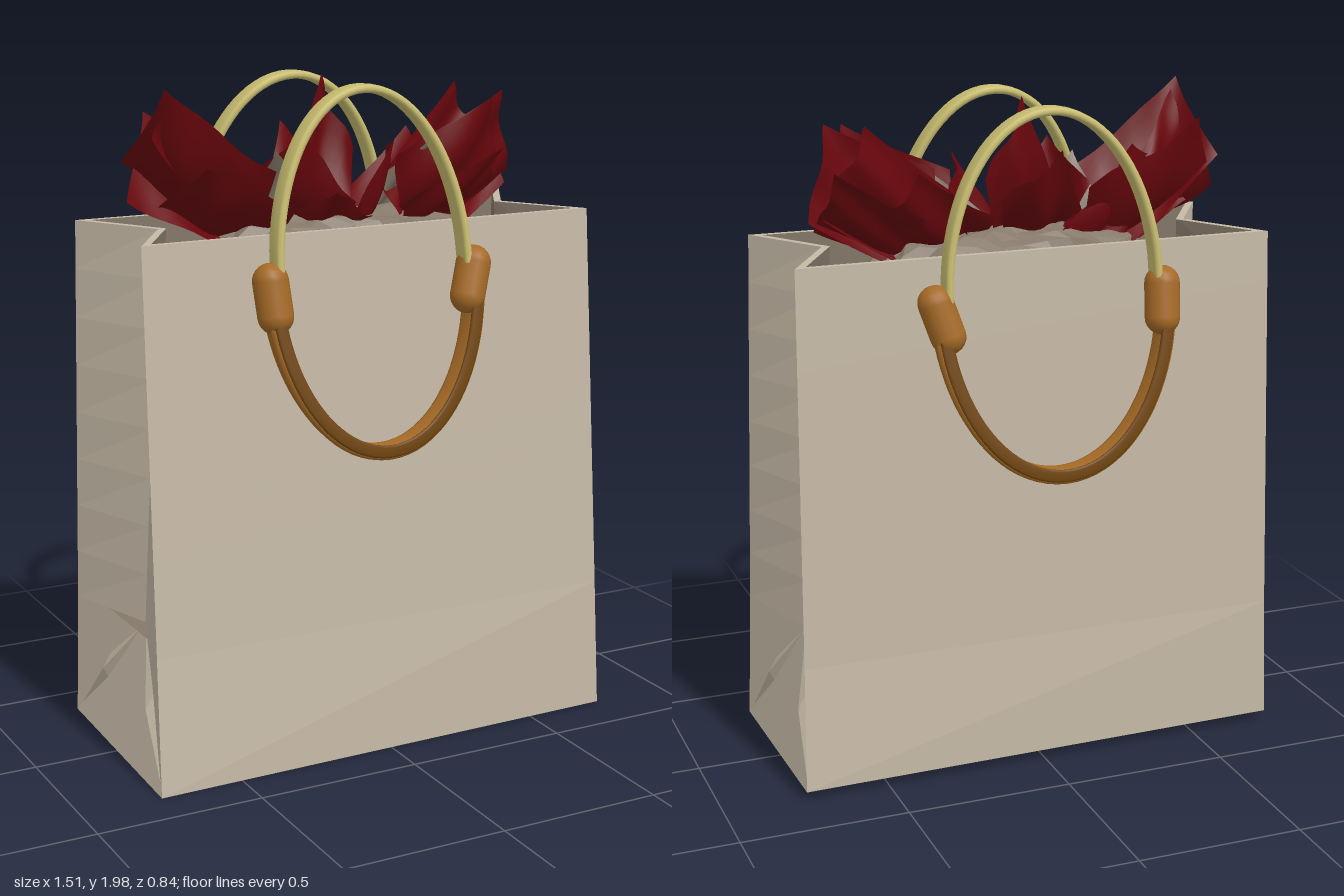
import * as THREE from 'three';

const mat = (name, color, side = THREE.FrontSide) => {
  const m = new THREE.MeshStandardMaterial({ color, side });
  m.name = name;
  return m;
};
const V = (p) => new THREE.Vector3(...p);

function build(pos, idx) {
  const g = new THREE.BufferGeometry();
  g.setAttribute('position', new THREE.Float32BufferAttribute(pos, 3));
  if (idx) g.setIndex(idx);
  g.computeVertexNormals();
  return g;
}

// Flat-shaded faces from polygons (triangle fans)
function faces(polys) {
  const pos = [];
  for (const p of polys)
    for (let i = 1; i < p.length - 1; i++) pos.push(...p[0], ...p[i], ...p[i + 1]);
  return build(pos);
}

// Pointed tissue sheet: root low in the bag, two side corners spread about the middle
function petal([x, y, z], spread, bulge, n = 10) {
  const C = new THREE.Vector3(x, y, z);
  const A = new THREE.Vector3(x * 0.48, 1.46, z * -0.4);
  const mid = A.clone().lerp(C, 0.55);
  const B = mid.clone().sub(V(spread)), D = mid.clone().add(V(spread));
  const normal = C.clone().sub(A).cross(D.clone().sub(B)).normalize();
  const pos = [], idx = [];
  for (let i = 0; i <= n; i++)
    for (let j = 0; j <= n; j++) {
      // Narrowing toward the tip gives the edges a slight inward curve
      const m = (i + j) / (2 * n), w = ((i - j) / (2 * n)) * (1 - 0.3 * m * m);
      const u = m + w, v = m - w;
      const p = A.clone().lerp(B, u).lerp(D.clone().lerp(C, u), v);
      p.addScaledVector(normal, bulge * 16 * u * v * (1 - u) * (1 - v) + 0.012 * Math.sin(14 * w + 5 * m));
      pos.push(p.x, p.y, p.z);
      if (i < n && j < n) {
        const k = i * (n + 1) + j, l = k + n + 1;
        idx.push(k, l, l + 1, k, l + 1, k + 1);
      }
    }
  return build(pos, idx);
}

// Flat strap swept along a path, its wide side along z; flare turns the outer face forward
function strap(points, width, thick, flare = 0, steps = 48, sides = 12) {
  const curve = new THREE.CatmullRomCurve3(points);
  const pos = [], idx = [];
  const soft = (c) => Math.sign(c) * Math.pow(Math.abs(c), 0.6);
  for (let i = 0; i <= steps; i++) {
    const p = curve.getPointAt(i / steps), t = curve.getTangentAt(i / steps);
    const axis = new THREE.Vector3(0, 0, 1).addScaledVector(t, -t.z).normalize();
    const side = axis.clone().addScaledVector(axis.clone().cross(t), flare).normalize();
    const out = side.clone().cross(t);
    for (let j = 0; j < sides; j++) {
      const a = (j / sides) * Math.PI * 2;
      const q = p.clone().addScaledVector(out, soft(Math.cos(a)) * thick / 2)
        .addScaledVector(side, soft(Math.sin(a)) * width / 2);
      pos.push(q.x, q.y, q.z);
      if (i < steps) {
        const k = i * sides + j, l = i * sides + (j + 1) % sides;
        idx.push(k, l, l + sides, k, l + sides, k + sides);
      }
    }
  }
  return build(pos, idx);
}

// Half-ellipse path; rise is negative for a hanging loop
function arc(cx, cy, rx, rise, z0, z1) {
  const points = [];
  for (let i = 0; i <= 16; i++) {
    const a = (i / 16) * Math.PI, s = Math.sin(a);
    points.push(new THREE.Vector3(cx - rx * Math.cos(a), cy + rise * s, z0 + (z1 - z0) * s));
  }
  return points;
}

export function createModel() {
  const model = new THREE.Group();
  model.name = 'giftBag';
  const paper = mat('beige paper', 0xc5b9a6, THREE.DoubleSide);
  const inside = mat('shaded paper', 0x85786a, THREE.DoubleSide);
  const base = mat('dark base', 0x5c4a3c);
  const red = mat('red tissue', 0x69060c, THREE.DoubleSide);
  const gold = mat('pale gold strap', 0xc9bd70);
  const tan = mat('tan leather', 0xa56a26);
  const brown = mat('brown leather edge', 0x70450f);
  const add = (name, geo, m, parent = model) => {
    const mesh = new THREE.Mesh(geo, m);
    mesh.name = name;
    parent.add(mesh);
    return mesh;
  };

  // Bag rings: front right, front left, left fold, back left, back right, right fold
  const ring = (y, x, front, back, fold, foldZ, skew = 0, tilt = 0) =>
    [[-x, front], [x, front], [fold, foldZ], [x, back], [-x, back], [-fold, foldZ]]
      .map(([px, pz]) => [px, y + tilt * (front - pz), pz - skew * px]);
  const bottom = ring(0.01, 0.755, 0.358, -0.312, 0.755, 0.02, 0.018, 0.042);
  const crease = ring(0.41, 0.743, 0.328, -0.295, 0.65, 0.02);
  const rim = ring(1.58, 0.728, 0.245, -0.26, 0.575, 0);
  const rimIn = ring(1.58, 0.69, 0.225, -0.24, 0.55, 0);
  const creaseIn = ring(0.41, 0.7, 0.308, -0.275, 0.62, 0.02);
  // Walls between two rings, in rows so the twisted gussets stay even
  const wall = (low, high, rows = 1) => {
    const polys = [];
    const at = (i, t) => V(low[i]).lerp(V(high[i]), t).toArray();
    for (let r = 0; r < rows; r++)
      for (let i = 0; i < 6; i++) {
        const j = (i + 1) % 6, a = r / rows, b = (r + 1) / rows;
        polys.push([at(i, a), at(j, a), at(j, b), at(i, b)]);
      }
    return polys;
  };
  add('upperWalls', faces(wall(crease, rim, 8)), paper);
  add('rimEdge', faces(wall(rim, rimIn)), paper);
  add('innerWalls', faces(wall(creaseIn, rimIn, 8)), inside);
  add('innerFloor', faces([creaseIn]), inside);
  add('bagBase', faces([[...bottom].reverse()]), base);

  // Lower walls: flat front and back, folded triangles at the sides
  const lower = [], folds = [];
  for (const i of [0, 3]) lower.push([bottom[i], bottom[i + 1], crease[i + 1], crease[i]]);
  for (const i of [2, 5]) {
    const a = i - 1, b = (i + 1) % 6;
    lower.push([bottom[a], bottom[i], crease[i]], [bottom[i], bottom[b], crease[i]],
      [bottom[a], crease[i], crease[a]], [bottom[b], crease[b], crease[i]]);
    // Raised diagonal folds on the gussets
    for (const k of [a, b]) {
      const at = (t, dy, dx) => {
        const m = V(crease[i]).lerp(V(bottom[k]), t);
        return [m.x + Math.sign(m.x) * dx, m.y + dy, m.z];
      };
      const top = at(0.03, 0, 0), end = at(0.92, 0, 0), mid = at(0.5, 0, 0.025);
      const up = at(0.5, 0.045, 0), down = at(0.5, -0.045, 0);
      folds.push([top, mid, up], [up, mid, end], [top, down, mid], [mid, down, end]);
    }
  }
  add('lowerWalls', faces(lower), paper);
  add('gussetFolds', faces(folds), paper);

  // Handles: gold arch above, tan loop with a dark outer edge below, rounded end tabs
  const handle = (name, s, cx, spread, topZ, lowY) => {
    const g = new THREE.Group();
    g.name = name;
    model.add(g);
    const rx = 0.335 * spread, rise = lowY - 1.44;
    add('upperStrap', strap(arc(cx, 1.46, 0.305 * spread, 0.515, s * 0.295, s * topZ), 0.068, 0.026), gold, g);
    add('lowerStrap', strap(arc(cx, 1.44, rx, rise, s * 0.29, s * 0.372), 0.08, 0.034, -0.2 * s), tan, g);
    add('strapEdge', strap(arc(cx, 1.44, rx - 0.008, rise + 0.008, s * 0.33, s * 0.411), 0.014, 0.038), brown, g);
    for (const e of [-1, 1]) {
      const tab = add('strapTab', new THREE.CapsuleGeometry(0.052, 0.1, 6, 14), tan, g);
      tab.position.set(cx + e * 0.322 * spread, 1.41, s * 0.3);
      tab.rotation.set(-0.2 * s, 0, e < 0 ? 0.06 : -0.3);
    }
  };
  handle('frontHandle', 1, -0.035, 1, 0.22, 0.945);
  handle('backHandle', -1, -0.025, 1.06, 0.25, 0.935);

  // Crumpled filler inside the mouth
  const mound = new THREE.SphereGeometry(1, 28, 16).toNonIndexed();
  const mp = mound.attributes.position;
  for (let i = 0; i < mp.count; i++) {
    const [x, y, z] = [mp.getX(i), mp.getY(i), mp.getZ(i)];
    const r = 1 + 0.1 * Math.sin(9 * x + 4 * z) * Math.cos(7 * z - 3 * y);
    mp.setXYZ(i, x * r * 0.45, 1.46 + y * r * 0.15, z * r * 0.17);
  }
  mound.computeVertexNormals();
  add('tissueFiller', mound, inside);
  for (const s of [-1, 1])
    add('tissueLining', petal([s * 0.25, 1.8, 0.1], [0.12, 0, 0.01], 0.02), inside);

  // Red tissue petals: tip, spread of the side corners, bulge
  const left = [
    [[-0.615, 2.0, 0.16], [0.22, -0.02, 0.09], -0.05],
    [[-0.6, 1.96, 0.14], [0.2, -0.13, -0.1], 0.04],
    [[-0.4, 1.82, -0.02], [0.24, -0.12, -0.11], 0.04],
    [[-0.58, 1.9, -0.1], [0.26, 0.03, -0.09], 0.04],
    [[-0.5, 1.78, 0.18], [0.22, 0, 0.06], -0.03],
  ];
  const middle = [
    [[-0.1, 1.84, -0.19], [0.17, 0.04, -0.07], 0.03],
    [[-0.16, 1.85, 0.1], [0.14, -0.05, 0.08], -0.04],
    [[-0.02, 1.99, -0.08], [0.14, 0.015, -0.07], 0.04],
    [[0.13, 1.82, 0.1], [0.11, 0.06, -0.11], -0.03],
    [[-0.08, 1.68, 0.16], [0.14, 0, 0.05], -0.02],
  ];
  const right = [
    [[0.48, 1.94, -0.15], [0.25, 0.04, -0.1], 0.04],
    [[0.48, 1.92, 0.08], [0.24, -0.05, -0.09], -0.05],
    [[0.46, 1.78, 0.18], [0.19, 0.01, -0.08], -0.03],
    [[0.55, 1.93, 0.02], [0.23, -0.06, -0.07], -0.03],
    [[0.34, 1.8, -0.2], [0.22, 0, -0.03], 0.03],
    [[0.6, 1.82, -0.23], [0.16, -0.02, 0.06], 0.02],
  ];
  for (const p of [...left, ...middle, ...right]) add('tissuePetal', petal(...p), red);

  return model;
}
